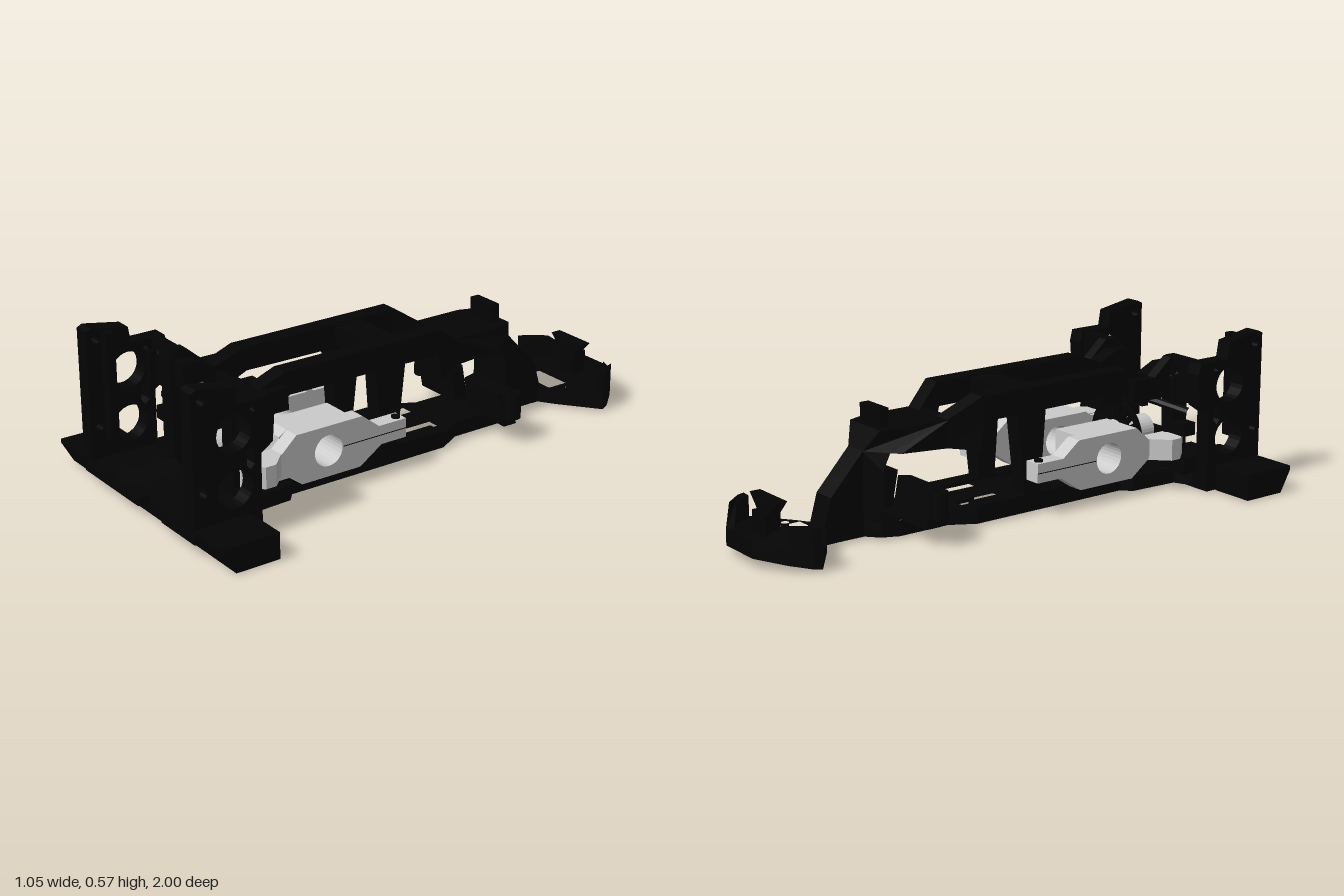
import * as THREE from 'three';

const black = new THREE.MeshStandardMaterial({ color: 0x040404, flatShading: true });
const grey = new THREE.MeshStandardMaterial({ color: 0xcccccc, flatShading: true });

const makeShape = (points, holes = []) => {
  const shape = new THREE.Shape(points.map(([a, b]) => new THREE.Vector2(a, b)));
  // A hole is either [a, b, radius] or a list of corners
  for (const h of holes) {
    const path = new THREE.Path();
    if (Array.isArray(h[0])) path.setFromPoints(h.map(([a, b]) => new THREE.Vector2(a, b)));
    else path.absarc(h[0], h[1], h[2], 0, Math.PI * 2, true);
    shape.holes.push(path);
  }
  return shape;
};
const extrude = (shape, depth) =>
  new THREE.ExtrudeGeometry(shape, { depth, bevelEnabled: false, curveSegments: 14 });
// Outline in (z, y), thickness from x0 to x1
const sideCut = (points, x0, x1, holes) =>
  extrude(makeShape(points, holes), x1 - x0).rotateY(-Math.PI / 2).translate(x1, 0, 0);
// Outline in (x, z), thickness from y0 to y1
const planCut = (points, y0, y1, holes) =>
  extrude(makeShape(points, holes), y1 - y0).rotateX(Math.PI / 2).translate(0, y1, 0);
const box = (x0, x1, y0, y1, z0, z1) =>
  new THREE.BoxGeometry(x1 - x0, y1 - y0, z1 - z0)
    .translate((x0 + x1) / 2, (y0 + y1) / 2, (z0 + z1) / 2);
// Full outline from its +x half
const mirrored = half => [...half, ...half.slice().reverse().map(([x, z]) => [-x, z])];
const rect = (x0, x1, z0, z1) => [[x0, z0], [x0, z1], [x1, z1], [x1, z0]];
// Move vertices by a rule on (x, y, z)
const bend = (geo, rule) => {
  const p = geo.attributes.position;
  for (let i = 0; i < p.count; i++) p.setXYZ(i, ...rule(p.getX(i), p.getY(i), p.getZ(i)));
  geo.computeVertexNormals();
  return geo;
};

export function createModel() {
  const model = new THREE.Group();
  const add = (name, geo, mat = black) => {
    const mesh = new THREE.Mesh(geo, mat);
    mesh.name = name;
    model.add(mesh);
  };

  // Floor plate with motor opening and lightening holes
  add('floorPlate', planCut(mirrored([
    [0.3, 0.96], [0.3, 0.76], [0.21, 0.72], [0.2, 0.53], [0.165, 0.5], [0.165, -0.15],
    [0.115, -0.24], [0.115, -0.44], [0.09, -0.5], [0.045, -0.54], [0.042, -0.7]]), 0.01, 0.065, [
    rect(-0.06, 0.05, 0.275, 0.5), rect(-0.1, -0.055, -0.17, 0), rect(0.055, 0.1, -0.17, 0),
    rect(-0.1, -0.055, 0.57, 0.68), rect(0.055, 0.1, 0.57, 0.68),
    [-0.02, 0.19, 0.015], [0, 0.24, 0.015], [0, 0.68, 0.016]]));
  for (const s of [-1, 1]) add('floorRail', box(s * 0.1325 - 0.0325, s * 0.1325 + 0.0325, 0.06, 0.075, -0.14, 0.6));

  // Front bumper: low centre bar, pads and two outer wings
  const bumper = [[1, 0.1], [1, 0.085], [0.955, 0.005], [0.79, 0.005], [0.79, 0.1]];
  add('frontBumper', sideCut([[0.955, 0.07], [0.955, 0.005], [0.75, 0.005], [0.75, 0.07]], -0.355, 0.355));
  add('bumperLip', planCut([[-0.355, 1], [0, 1], [0, 0.955], [0.1, 0.955], [0.15, 1], [0.355, 1],
    [0.355, 0.94], [-0.355, 0.94]], 0.045, 0.072));

  const tower = [[1, 0.565], [0.98, 0.575], [0.84, 0.55], [0.83, 0.49], [0.7, 0.49], [0.69, 0.45],
    [0.7, 0.33], [0.745, 0.3], [0.745, 0.05], [0.955, 0.01], [1, 0.1]];
  const slot = [[0.77, 0.27], [0.77, 0.32], [0.785, 0.335], [0.8, 0.32], [0.8, 0.27], [0.785, 0.255]];
  for (const s of [-1, 1]) {
    const span = (a, b) => (s < 0 ? [-b, -a] : [a, b]);
    add('bumperWing', sideCut(bumper, ...span(0.36, 0.527)));
    const pad = box(...span(0.09, 0.355), 0.06, 0.1, 0.76, 0.995);
    add('bumperPad', bend(pad, (x, y, z) => [y > 0.08 && Math.abs(x) < 0.1 ? s * 0.16 : x, y, z]));
    // Upright side plate with lamp openings
    add('sidePlate', sideCut(tower, ...span(0.3, 0.36), [
      [0.845, 0.395, 0.066], [0.845, 0.2, 0.066], [0.965, 0.53, 0.015], [0.965, 0.215, 0.015],
      [0.775, 0.46, 0.01], slot]));
    // Bridge, upright and arm mounts behind the plate
    add('plateBridge', box(...span(0.16, 0.305), 0.33, 0.487, 0.71, 0.75));
    add('bridgeUpright', box(...span(0.158, 0.22), 0.05, 0.46, 0.7, 0.765));
    add('bridgeStrut', box(...span(0.28, 0.31), 0.33, 0.45, 0.75, 0.775));
    add('armMountTop', box(...span(0.2, 0.28), 0.203, 0.25, 0.7, 0.755));
    add('armMountBase', box(...span(0.2, 0.285), 0.06, 0.125, 0.7, 0.76));
    add('railShoulder', sideCut([[0.72, 0.487], [0.7, 0.485], [0.625, 0.42], [0.53, 0.42], [0.53, 0.34],
      [0.72, 0.34]], ...span(0.16, 0.2)));

    // Top rail, narrowing toward the rear
    const rail = sideCut([[0.75, 0.455], [0.7, 0.455], [0.625, 0.42], [0.52, 0.46], [-0.13, 0.46],
      [-0.24, 0.385], [-0.24, 0.285], [-0.14, 0.27], [-0.12, 0.37], [0.5, 0.375], [0.6, 0.33], [0.75, 0.36]],
      ...span(0.1, 0.165));
    add('topRail', bend(rail, (x, y, z) => [z < -0.15 ? x - s * 0.05 : x, y, z]));
    add('railPost', sideCut([[0.15, 0.4], [0.02, 0.4], [0.06, 0.06], [0.125, 0.06]], ...span(0.1, 0.165)));

    // Clamp block with axle hole
    const block = [[0.7, 0.2], [0.58, 0.2], [0.52, 0.255], [0.25, 0.255], [0.18, 0.2], [0.065, 0.2],
      [0.065, 0.13], [0.17, 0.13], [0.26, 0.07], [0.5, 0.07], [0.58, 0.13], [0.7, 0.13]];
    add('clampBlock', sideCut(block, ...span(0.165, 0.227), [[0.39, 0.165, 0.057]]), grey);
    add('clampInner', sideCut([[0.55, 0.235], [0.52, 0.255], [0.28, 0.255], [0.28, 0.075], [0.55, 0.075]],
      ...span(0.06, 0.168), [[0.39, 0.165, 0.057]]), grey);
    add('clampArm', planCut([[s * 0.17, 0.6], [s * 0.225, 0.58], [s * 0.285, 0.64], [s * 0.285, 0.68],
      [s * 0.23, 0.74], [s * 0.2, 0.74]], 0.125, 0.203), grey);
    add('clampSeam', box(...span(0.166, 0.2275), 0.163, 0.166, 0.065, 0.33));
    add('clampScrew', new THREE.CylinderGeometry(0.016, 0.016, 0.012, 12).translate(s * 0.2, 0.202, 0.09));

    // Leaning rear cross arm with eyelet
    add('crossArm', sideCut([[-0.34, 0.19], [-0.395, 0.2], [-0.42, 0.06], [-0.365, 0.06]], ...span(0.04, 0.24)));
    add('armEyelet', planCut(Array.from({ length: 16 }, (_, i) => {
      const a = i * Math.PI / 8;
      return [s * 0.258 + 0.033 * Math.cos(a), -0.382 + 0.034 * Math.sin(a)];
    }), 0.1, 0.193, [[s * 0.264, -0.382, 0.012]]));

    // Foot under the floor
    add('floorFoot', sideCut([[0.6, 0.03], [0.56, 0.002], [0.46, 0.002], [0.45, 0.03]], ...span(0.06, 0.1)));
  }
  add('railCrossbar', box(-0.11, 0.11, 0.38, 0.455, 0.02, 0.13));
  add('rearCrossbar', box(-0.1, 0.1, 0.28, 0.385, -0.24, -0.2));

  // Rear hood, sweeping down and narrowing to the tail
  const hood = sideCut([[-0.23, 0.385], [-0.43, 0.385], [-0.5, 0.385], [-0.54, 0.31], [-0.67, 0.17],
    [-0.7, 0.065], [-0.7, 0.01], [-0.54, 0.01], [-0.5, 0.01], [-0.43, 0.01], [-0.43, 0.07], [-0.49, 0.1],
    [-0.49, 0.24], [-0.46, 0.3], [-0.43, 0.298], [-0.24, 0.285]], -1, 1);
  add('rearHood', bend(hood, (x, y, z) => {
    const half = z > -0.45 ? 0.115 : z > -0.51 ? 0.09 : 0.044;
    return [x * half, y, z];
  }));
  add('hoodTab', box(-0.06, 0.06, 0.36, 0.45, -0.48, -0.445));

  // Tail bumper with raised corners and a hook
  const tail = mirrored([[0.045, -0.66], [0.045, -0.69], [0.1, -0.725], [0.245, -0.835], [0.235, -0.865],
    [0.18, -0.93], [0.085, -1]]);
  add('tailPlate', bend(planCut(tail, 0.01, 0.068,
    [rect(-0.075, 0.075, -0.8, -0.72), [-0.097, -0.765, 0.014], [0.097, -0.765, 0.014]]),
    (x, y, z) => [x, y + Math.max(0, -z - 0.84) * 0.17, z]));
  for (const s of [-1, 1]) {
    const rim = planCut([[s * 0.245, -0.835], [s * 0.235, -0.865], [s * 0.18, -0.93], [s * 0.085, -1],
      [s * 0.08, -0.97], [s * 0.15, -0.92], [s * 0.205, -0.84]], 0.05, 0.15);
    add('tailRim', bend(rim, (x, y, z) => [x, y > 0.1 && z < -0.95 ? 0.092 : y, z]));
  }
  add('tailEdge', box(-0.085, 0.085, 0.05, 0.09, -1, -0.96));
  add('hookStem', box(-0.04, 0.04, 0.05, 0.16, -0.925, -0.865));
  const hook = box(-0.085, 0.085, 0.155, 0.207, -0.905, -0.865);
  add('tailHook', bend(hook, (x, y, z) => [y < 0.18 ? x * 0.45 : x, y, z]));

  // Slotted disc, shaft and motor
  const slots = Array.from({ length: 20 }, (_, i) =>
    [[0.07, -0.08], [0.12, -0.095], [0.12, 0.095], [0.07, 0.08]].map(([r, d]) => {
      const a = i * Math.PI / 10 + d;
      return [r * Math.cos(a), r * Math.sin(a)];
    }));
  const rim = Array.from({ length: 40 }, (_, i) =>
    [0.13 * Math.cos(i * Math.PI / 20), 0.13 * Math.sin(i * Math.PI / 20)]);
  add('slottedDisc', extrude(makeShape(rim, slots), 0.022).translate(-0.01, 0.172, 0.603));
  add('driveShaft', new THREE.CylinderGeometry(0.055, 0.055, 0.23, 28)
    .rotateX(Math.PI / 2).translate(-0.01, 0.172, 0.635), grey);
  add('shaftSlot', new THREE.CapsuleGeometry(0.016, 0.022, 4, 10).rotateZ(Math.PI / 2).translate(-0.008, 0.172, 0.74));

  // Small bracket under the floor with two cross holes
  add('underBracket', sideCut([[0.56, 0.062], [0.56, 0.003], [0.5, 0.003], [0.5, 0.062]], -0.03, 0.03,
    [[0.543, 0.03, 0.009], [0.517, 0.03, 0.009]]), grey);

  // Steering servo, hanger, cover and linkage
  add('servoBody', box(-0.05, 0.05, 0.3, 0.375, 0.51, 0.67));
  add('servoHanger', box(-0.165, 0.165, 0.31, 0.4, 0.598, 0.625));
  add('shaftCover', planCut(rect(-0.065, 0.055, 0.66, 0.765), 0.3, 0.33, [[0, 0.685, 0.014]]));
  for (const [z, y] of [[0.55, 0.28], [0.585, 0.26], [0.63, 0.25]]) {
    add('servoPin', box(0.045, 0.075, y, 0.33, z - 0.01, z + 0.01));
  }
  add('innerPlate', box(-0.295, -0.255, 0.175, 0.56, 0.915, 0.947));
  const link = (name, a, b) => add(name, new THREE.TubeGeometry(
    new THREE.LineCurve3(new THREE.Vector3(...a), new THREE.Vector3(...b)), 1, 0.016, 8));
  link('upperLink', [-0.27, 0.45, 0.74], [-0.06, 0.34, 0.66]);
  link('lowerLink', [-0.27, 0.29, 0.73], [-0.05, 0.33, 0.65]);
  return model;
}
